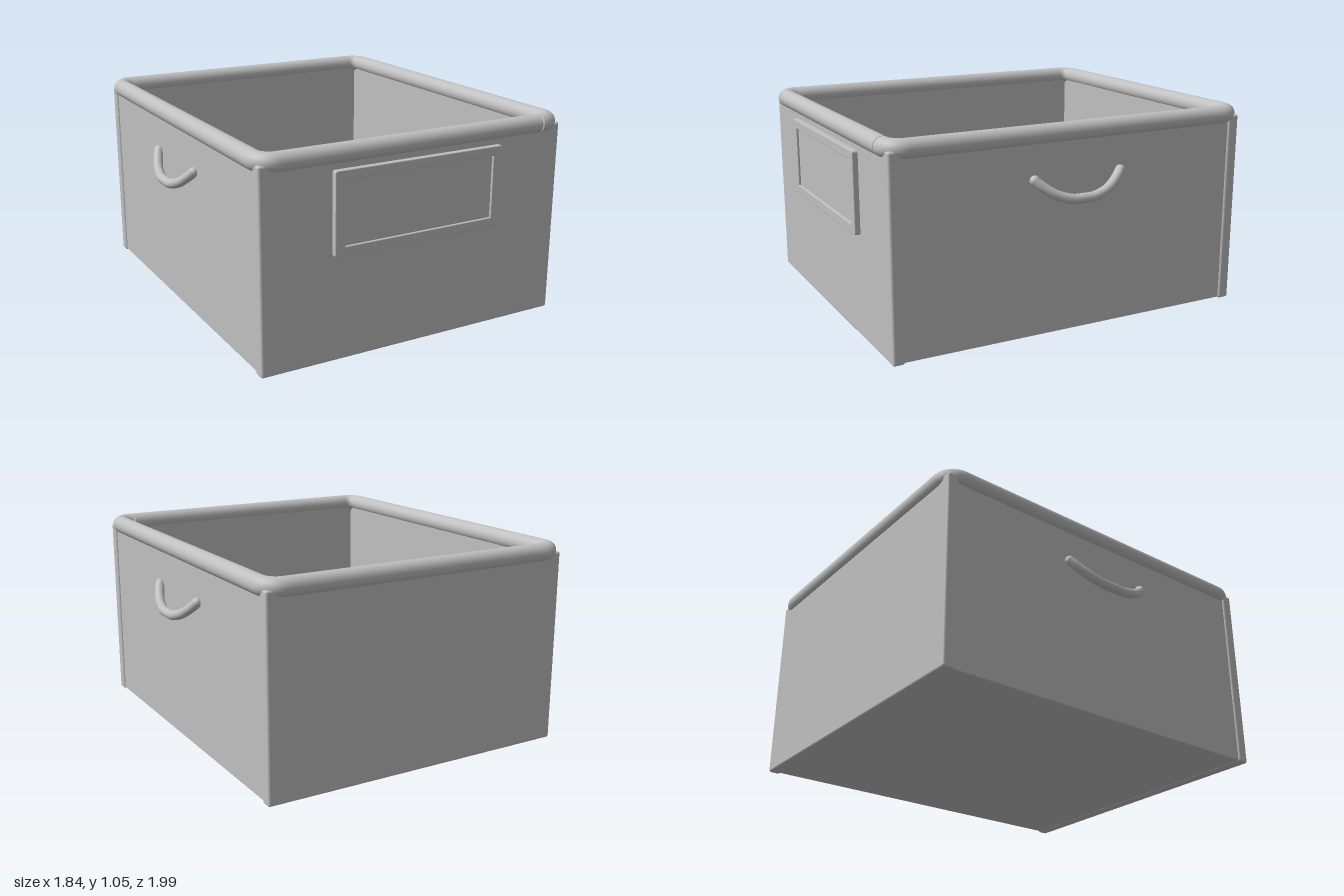
import * as THREE from 'three';
import { RoundedBoxGeometry } from 'three/addons/geometries/RoundedBoxGeometry.js';

const grey = new THREE.MeshStandardMaterial({ color: 0xc0c0c0 });
grey.name = 'plain grey';

export function createModel() {
  const model = new THREE.Group();
  model.name = 'storageBin';

  const add = (name, geometry, x = 0, y = 0, z = 0, parent = model) => {
    const mesh = new THREE.Mesh(geometry, grey);
    mesh.name = name;
    mesh.position.set(x, y, z);
    parent.add(mesh);
    return mesh;
  };
  const v = (x, y, z) => new THREE.Vector3(x, y, z);

  // Floor and four walls; front and back walls overlap the side walls
  add('floor', new THREE.BoxGeometry(1.64, 0.035, 1.88), 0, 0.0235, 0);
  for (const s of [1, -1]) {
    add(s > 0 ? 'frontWall' : 'backWall',
      new RoundedBoxGeometry(1.67, 1.0, 0.062, 3, 0.012), 0, 0.5, s * 0.94);
    add(s > 0 ? 'leftWall' : 'rightWall',
      new THREE.BoxGeometry(0.055, 0.985, 1.84), s * 0.7985, 0.5, 0);
  }

  // Rolled rim: one rod bent around the top, its ends meeting near a front corner
  const X = 0.807, Z = 0.947, Y = 1.003, R = 0.047, bend = 0.075, k = 0.552 * bend;
  const rimPath = new THREE.CurvePath();
  const corners = [[1, 1], [1, -1], [-1, -1], [-1, 1]];
  let last = v(0.722, Y, Z);
  corners.forEach(([sx, sz], i) => {
    const corner = v(sx * X, Y, sz * Z);
    const inward = i % 2 === 0 ? v(-sx, 0, 0) : v(0, 0, -sz);
    const outward = i % 2 === 0 ? v(0, 0, -sz) : v(-sx, 0, 0);
    const a = corner.clone().addScaledVector(inward, bend);
    const b = corner.clone().addScaledVector(outward, bend);
    if (last.distanceTo(a) > 1e-4) rimPath.add(new THREE.LineCurve3(last, a));
    rimPath.add(new THREE.CubicBezierCurve3(
      a, a.clone().addScaledVector(inward, -k),
      b.clone().addScaledVector(outward, -k), b));
    last = b;
  });
  rimPath.add(new THREE.LineCurve3(last, v(0.712, Y, Z)));
  add('rim', new THREE.TubeGeometry(rimPath, 400, R, 20, false));
  // Shallow domed ends at the seam
  for (const [x, name] of [[0.722, 'rimStart'], [0.712, 'rimEnd']]) {
    add(name, new THREE.SphereGeometry(R, 20, 12), x, Y, Z).scale.x = 0.1;
  }

  // Label holder: raised frame around a recessed plate
  const rect = (path, w, h, r) => {
    path.moveTo(-w + r, -h);
    path.lineTo(w - r, -h).quadraticCurveTo(w, -h, w, -h + r);
    path.lineTo(w, h - r).quadraticCurveTo(w, h, w - r, h);
    path.lineTo(-w + r, h).quadraticCurveTo(-w, h, -w, h - r);
    path.lineTo(-w, -h + r).quadraticCurveTo(-w, -h, -w + r, -h);
    return path;
  };
  const label = new THREE.Group();
  label.name = 'labelHolder';
  label.position.set(-0.005, 0.731, 0.965);
  model.add(label);
  const frame = rect(new THREE.Shape(), 0.461, 0.2, 0.008);
  frame.holes.push(rect(new THREE.Path(), 0.416, 0.161, 0.006));
  add('labelFrame', new THREE.ExtrudeGeometry(frame, {
    depth: 0.03, bevelEnabled: true, bevelThickness: 0.004,
    bevelSize: 0.004, bevelSegments: 2, curveSegments: 4,
  }), 0, 0, 0, label);
  add('labelPlate', new THREE.BoxGeometry(0.84, 0.33, 0.02), 0, 0, 0.012, label);

  // Drooping bail handles, tilted away from the side walls
  for (const s of [1, -1]) {
    const handle = new THREE.Group();
    handle.name = s > 0 ? 'leftHandle' : 'rightHandle';
    model.add(handle);
    const points = [
      [0.79, 0.24], [0.765, 0.215], [0.718, 0.145], [0.692, 0.06],
      [0.69, 0], [0.692, -0.06], [0.718, -0.145], [0.765, -0.215], [0.79, -0.24],
    ].map(([y, z]) => v(s * (0.835 + (0.79 - y) * 0.58), y, z));
    add('handleBar', new THREE.TubeGeometry(
      new THREE.CatmullRomCurve3(points), 48, 0.025, 14, false), 0, 0, 0, handle);
    for (const p of [points[0], points[points.length - 1]]) {
      add('handleEnd', new THREE.SphereGeometry(0.025, 14, 10), p.x, p.y, p.z, handle);
    }
  }

  return model;
}
